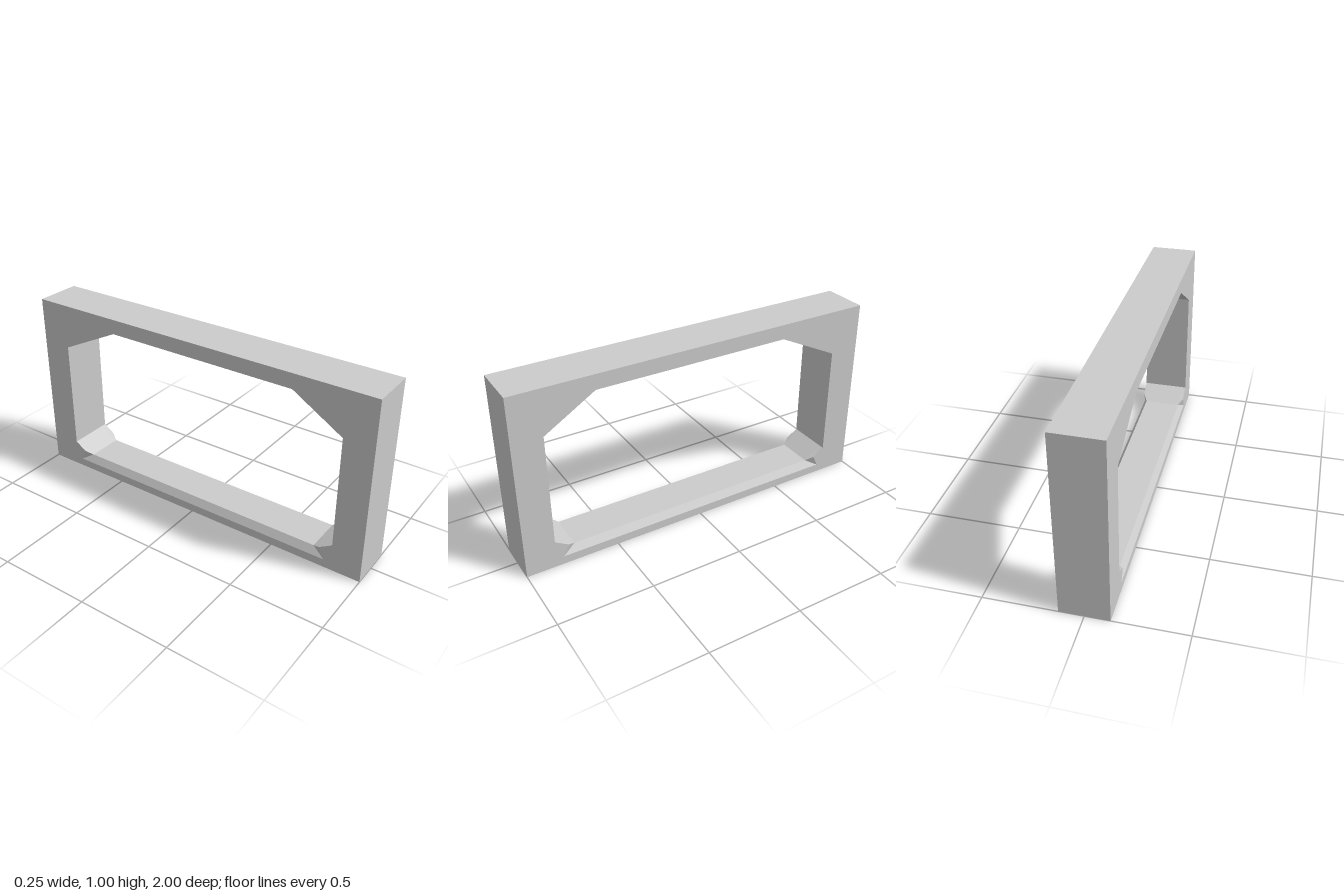
import * as THREE from 'three';

const HALF = 0.125;   // half thickness of the frame
const BEVEL = 0.025;  // depth of the sill bevel

const material = new THREE.MeshStandardMaterial({ color: 0xcccccc, flatShading: true });

// Outlines as [z, y], all running top -> +z side -> bottom -> -z side
const outer = [[1, 1], [1, 0], [-1, 0], [-1, 1]];

// Opening: n = notch corner on the lower chamfer, b = end of the sill edge
const opening = (n, b) => [
  [0.57, 0.92], [0.84, 0.755], [0.84, 0.15], n, b,
  [-b[0], b[1]], [-n[0], n[1]], [-0.835, 0.15], [-0.835, 0.755], [-0.495, 0.92],
];
const faceHole = opening([0.77, 0.108], [0.8, 0.045]);
const coreHole = opening([0.73, 0.085], [0.73, 0.085]);

// Walls joining outlines placed at successive x positions
function loft(rings) {
  const pos = [];
  for (let r = 0; r < rings.length - 1; r++) {
    const [xa, a] = rings[r], [xb, b] = rings[r + 1];
    a.forEach((_, i) => {
      const j = (i + 1) % a.length;
      const A = [xa, a[i][1], a[i][0]], B = [xa, a[j][1], a[j][0]];
      const C = [xb, b[j][1], b[j][0]], D = [xb, b[i][1], b[i][0]];
      pos.push(...A, ...B, ...C, ...A, ...C, ...D);
    });
  }
  const g = new THREE.BufferGeometry();
  g.setAttribute('position', new THREE.Float32BufferAttribute(pos, 3));
  g.computeVertexNormals();
  return g;
}

// Flat side of the frame, s = +1 for left (+x), -1 for right
function sideFace(s) {
  const to2d = (pts) => pts.map(([z, y]) => new THREE.Vector2(-s * z, y));
  const shape = new THREE.Shape(to2d(outer));
  shape.holes.push(new THREE.Path(to2d(faceHole)));
  return new THREE.ShapeGeometry(shape).rotateY(s * Math.PI / 2).translate(s * HALF, 0, 0);
}

export function createModel() {
  const model = new THREE.Group();
  model.name = 'frame';
  const add = (name, geometry) => {
    const mesh = new THREE.Mesh(geometry, material);
    mesh.name = name;
    model.add(mesh);
  };

  add('outerWalls', loft([[-HALF, outer], [HALF, outer]]));
  add('leftFace', sideFace(1));
  add('rightFace', sideFace(-1));

  // Inside of the opening, with the sill bevelled towards both faces
  const face = [...faceHole].reverse(), core = [...coreHole].reverse();
  add('openingWalls', loft([
    [-HALF, face], [-HALF + BEVEL, core], [HALF - BEVEL, core], [HALF, face],
  ]));
  return model;
}
